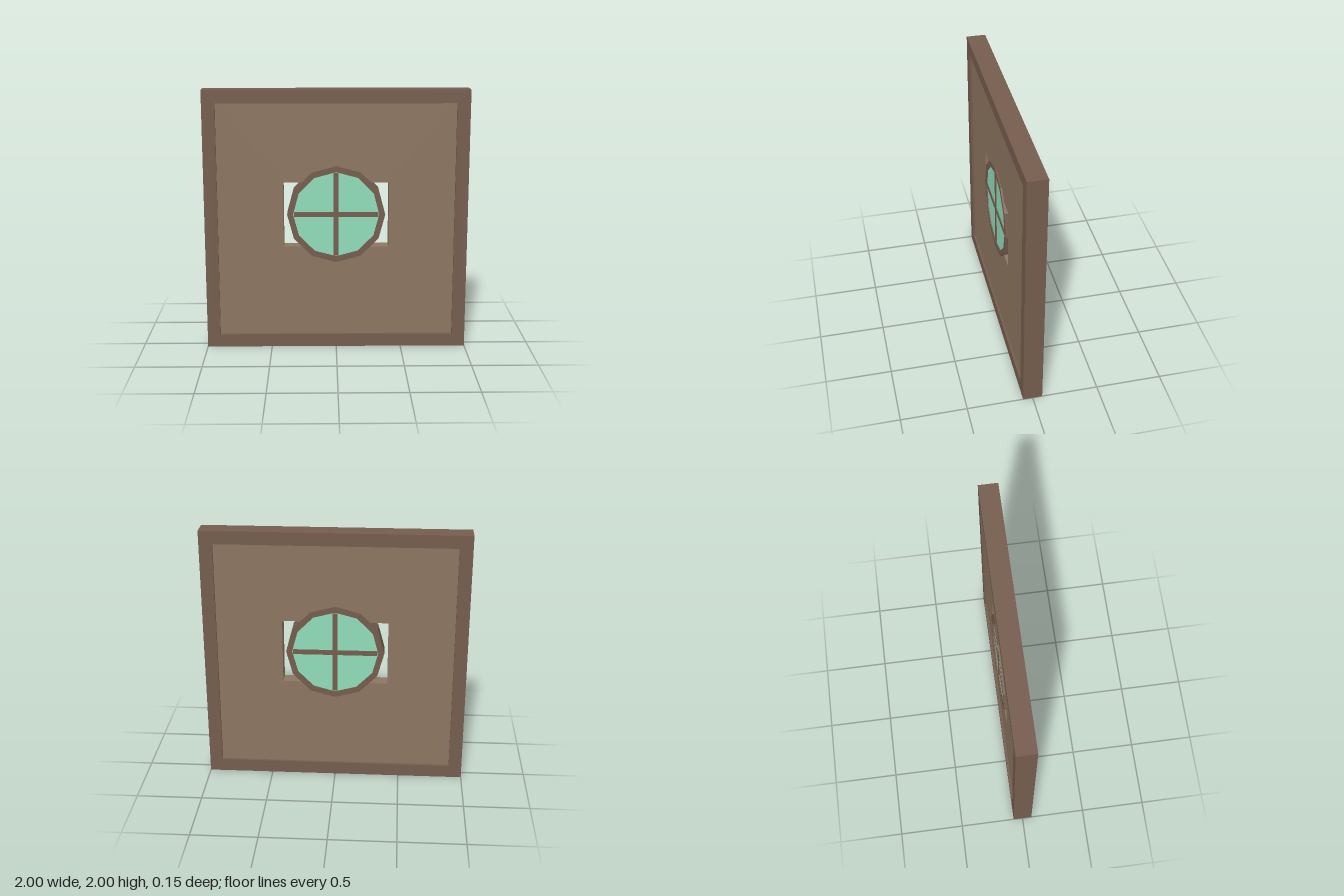
import * as THREE from 'three';

const mat = (color) => new THREE.MeshStandardMaterial({ color, flatShading: true });

const rect = (x0, y0, x1, y1) => [[x0, y0], [x1, y0], [x1, y1], [x0, y1]]
  .map(([x, y]) => new THREE.Vector2(x, y));

// Regular polygon with a corner at the top
const polygon = (radius, sides, cy) => Array.from({ length: sides }, (_, i) => {
  const a = Math.PI / 2 + (i / sides) * Math.PI * 2;
  return new THREE.Vector2(Math.cos(a) * radius, cy + Math.sin(a) * radius);
});

// Slab centred on z = 0, with an optional hole
function slab(name, outline, hole, depth, material) {
  const shape = new THREE.Shape(outline);
  if (hole) shape.holes.push(new THREE.Path(hole));
  const geometry = new THREE.ExtrudeGeometry(shape, { depth, bevelEnabled: false });
  geometry.translate(0, 0, -depth / 2);
  const mesh = new THREE.Mesh(geometry, material);
  mesh.name = name;
  return mesh;
}

export function createModel() {
  const model = new THREE.Group();
  model.name = 'wallWithRoundWindow';
  const wood = mat(0x755d4e);
  const plaster = mat(0x8c7560);
  const green = mat(0x90dcba);
  const cy = 1.053;

  // Square border and the recessed wall with its rectangular opening
  model.add(
    slab('frame', rect(-1, 0, 1, 2), rect(-0.9, 0.1, 0.9, 1.9), 0.147, wood),
    slab('wallPanel', rect(-0.9, 0.1, 0.9, 1.9), rect(-0.4, 0.8, 0.4, 1.3), 0.11, plaster),
  );

  // Twelve-sided window: ring, pane and crossed bars, showing on both faces
  const window = new THREE.Group();
  window.name = 'window';
  window.add(
    slab('windowRing', polygon(0.373, 12, cy), polygon(0.328, 12, cy), 0.134, wood),
    slab('glass', polygon(0.33, 12, cy), null, 0.118, green),
    slab('verticalBar', rect(-0.019, cy - 0.32, 0.019, cy + 0.32), null, 0.13, wood),
    slab('horizontalBar', rect(-0.32, cy - 0.019, 0.32, cy + 0.019), null, 0.13, wood),
  );
  model.add(window);
  return model;
}
